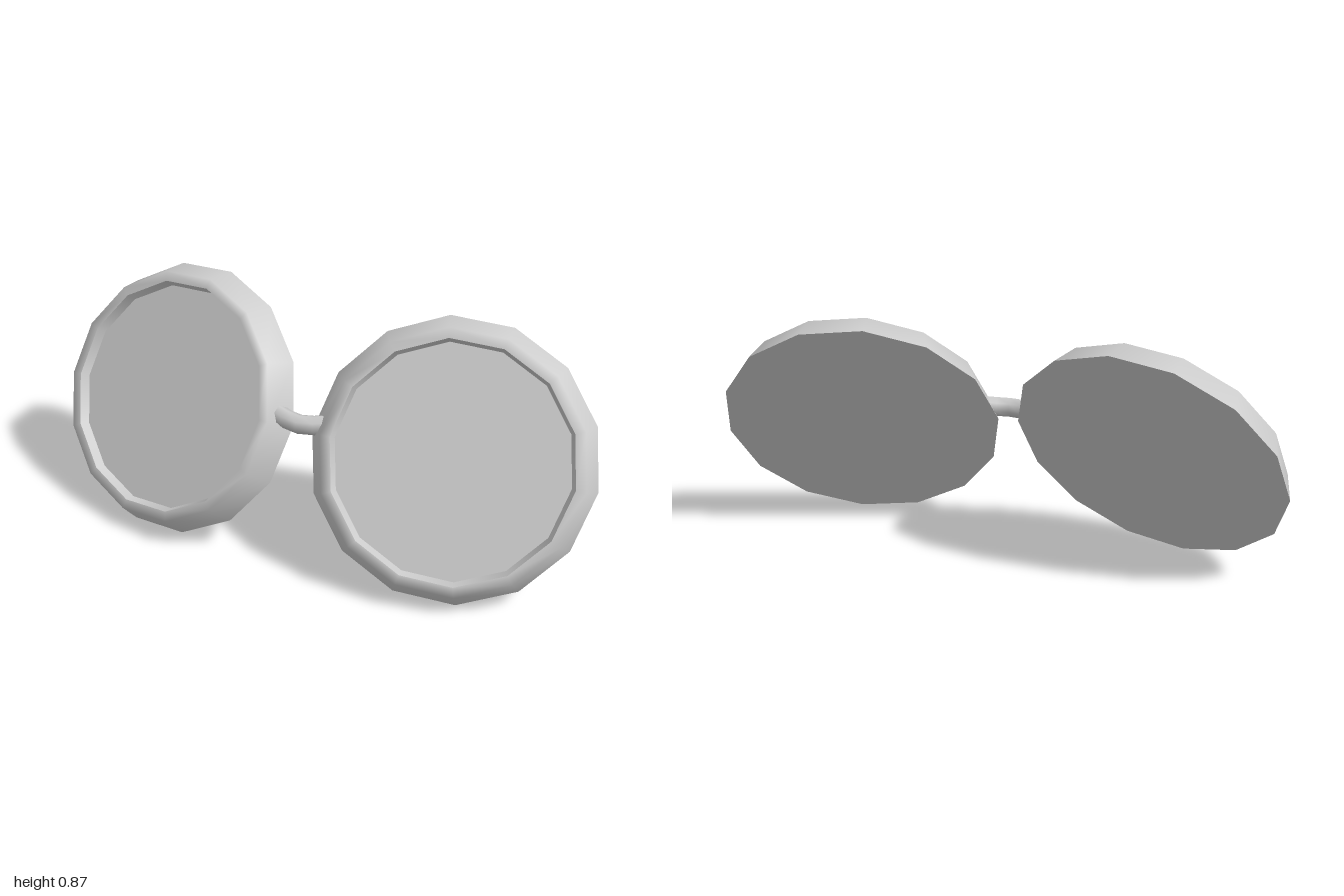
import * as THREE from 'three';

const SIDES = 14;

export function createModel() {
  const model = new THREE.Group();
  model.name = 'roundGlasses';
  const grey = new THREE.MeshStandardMaterial({ color: 0xcccccc });
  grey.name = 'light grey';

  const add = (parent, geometry, name) => {
    const mesh = new THREE.Mesh(geometry, grey);
    mesh.name = name;
    parent.add(mesh);
  };
  const ring = (points) =>
    new THREE.LatheGeometry(points.map(([r, y]) => new THREE.Vector2(r, y)), SIDES);
  // disc lying flat, its corners in line with those of the rings
  const disc = (radius, y, up) => new THREE.CircleGeometry(radius, SIDES, Math.PI / 2)
    .rotateX(up ? -Math.PI / 2 : Math.PI / 2).translate(0, y, 0);

  for (const side of [1, -1]) {
    const eye = new THREE.Group();
    eye.name = side > 0 ? 'leftEyepiece' : 'rightEyepiece';
    add(eye, ring([[0.487, 0], [0.445, 0.1], [0.41, 0.1]]), 'rim');
    add(eye, ring([[0.41, 0.1], [0.398, 0.065]]), 'rimInnerWall');
    add(eye, disc(0.398, 0.065, true), 'lensFront');
    add(eye, disc(0.487, 0, false), 'lensBack');

    // each eyepiece tips upward and sweeps back at its outer edge
    const normal = new THREE.Vector3(side * 0.197, 0.467, 0.862).normalize();
    const outward = new THREE.Vector3(side * 0.485, -0.048, -0.085).normalize();
    const across = new THREE.Vector3().crossVectors(normal, outward).normalize();
    outward.crossVectors(across, normal);
    eye.quaternion.setFromRotationMatrix(
      new THREE.Matrix4().makeBasis(across, normal, outward));
    eye.position.set(side * 0.513, 0.428, -0.035);
    model.add(eye);
  }

  // bridge bowed slightly forward between the rims
  const path = new THREE.CatmullRomCurve3([
    new THREE.Vector3(-0.1, 0.518, 0.055),
    new THREE.Vector3(-0.04, 0.511, 0.075),
    new THREE.Vector3(0, 0.51, 0.082),
    new THREE.Vector3(0.04, 0.511, 0.075),
    new THREE.Vector3(0.1, 0.518, 0.055),
  ]);
  add(model, new THREE.TubeGeometry(path, 4, 0.034, 7), 'bridge');
  return model;
}
